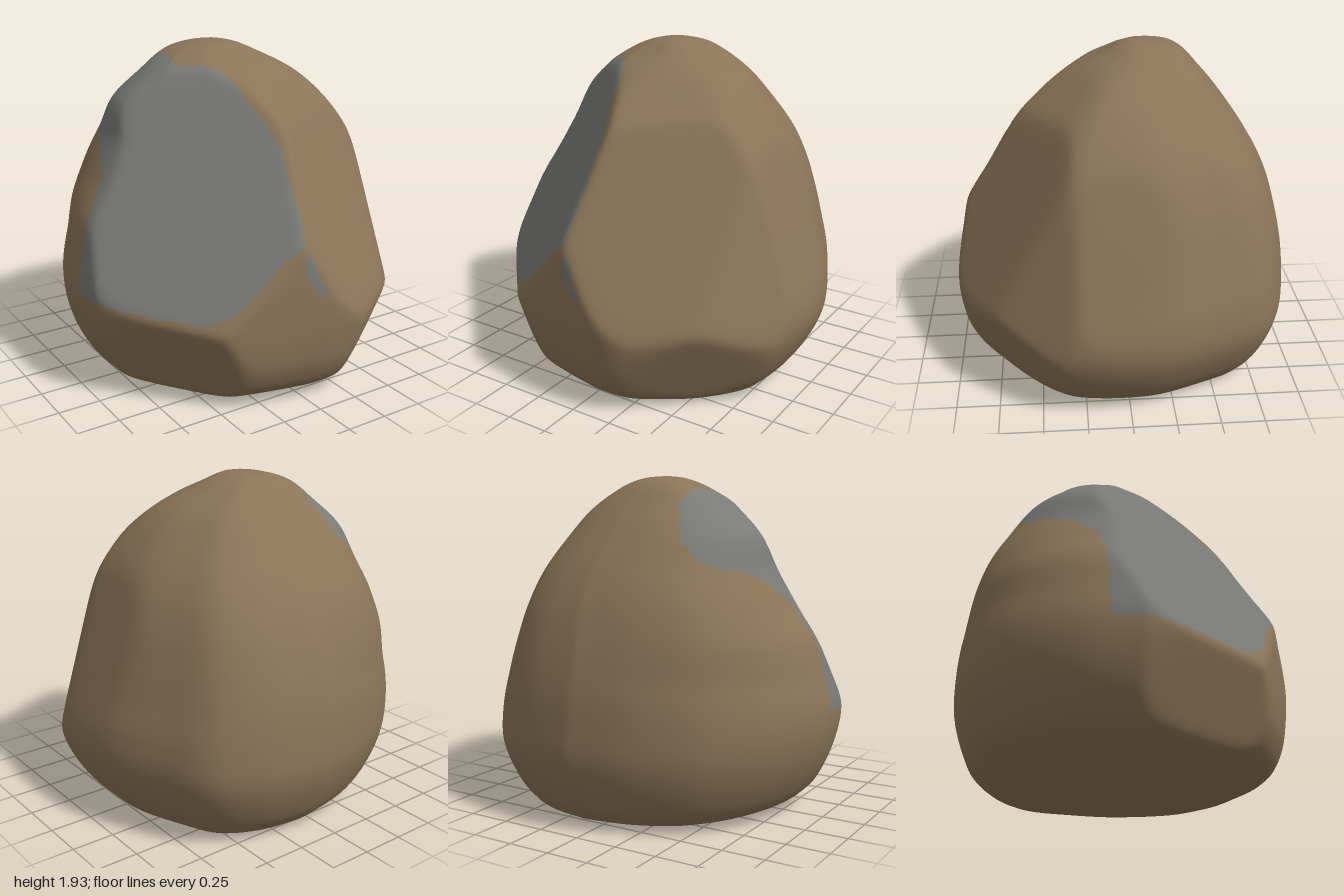
import * as THREE from 'three';

const AROUND = 200, UP = 130;

// Plan outline (x, z), clockwise seen from above
const outline = [
  [0, -0.98], [0.15, -0.985], [0.45, -0.93], [0.71, -0.78], [0.86, -0.5], [0.97, -0.22], [1, 0], [0.99, 0.25],
  [0.93, 0.46], [0.71, 0.74], [0.5, 0.87], [0.3, 0.97], [0.13, 0.99], [-0.05, 0.97], [-0.4, 0.89], [-0.6, 0.81],
  [-0.8, 0.56], [-0.97, 0.3], [-1, 0.15], [-1, -0.1], [-0.93, -0.35], [-0.8, -0.58], [-0.6, -0.78], [-0.3, -0.92],
];

// Extents at each height: y, x min, x max, z min, z max
const levels = [
  [0, 0, 0, 0, 0], [0, -0.3, 0.35, -0.4, 0.35], [0.005, -0.6, 0.7, -0.73, 0.68], [0.08, -0.8, 0.82, -0.86, 0.86],
  [0.22, -0.91, 0.92, -0.94, 0.95], [0.4, -0.98, 0.99, -0.99, 0.99], [0.6, -1.005, 0.99, -0.99, 1.01],
  [0.8, -0.97, 0.94, -0.97, 0.99], [1, -0.91, 0.89, -0.92, 0.96], [1.2, -0.78, 0.82, -0.84, 0.83],
  [1.4, -0.67, 0.73, -0.73, 0.72], [1.6, -0.6, 0.59, -0.59, 0.55], [1.75, -0.44, 0.44, -0.47, 0.35],
  [1.87, -0.28, 0.23, -0.36, 0.1], [1.92, -0.14, 0.1, -0.25, 0], [1.935, -0.02, -0.02, -0.1, -0.1],
];

// Flat faces chipped off the boulder: normal, distance from origin
const facets = [
  [-0.62, 0.46, 0.635, 1.09],   // large grey break
  [0.42, 0.41, 0.81, 1.12],     // front right
  [-0.25, 0, 0.97, 0.945],      // low front
  [-0.72, -0.35, 0.6, 0.71],    // low left corner
  [0.95, 0.3, 0, 1.11],         // right side
  [0.8, 0.25, 0.55, 1.09],      // right front corner
  [0.6, -0.4, 0.69, 0.715],     // underside, front right
  [0.25, 0.76, 0.6, 1.53],      // above the front
];

// Grey stone region, as front (x, y) and plan (x, z) masks
const greyFront = [[-1.1, 0.61], [-0.95, 0.59], [-0.75, 0.56], [-0.6, 0.55], [-0.45, 0.61], [-0.2, 0.87],
  [-0.12, 0.94], [-0.07, 0.95], [-0.03, 1.5], [-0.15, 1.83], [-0.28, 1.87], [-1.1, 1.95]];
const greyPlan = [[-1.1, 0.08], [-0.97, 0.05], [-0.8, -0.03], [-0.7, -0.25], [-0.6, -0.46], [-0.5, -0.55],
  [-0.38, -0.56], [-0.28, -0.4], [-0.3, -0.2], [-0.33, 0.03], [-0.17, 0.2], [-0.03, 0.65], [-0.03, 1.1], [-1.1, 1.1]];
const greySliver = [[-0.09, 0.91], [-0.05, 0.91], [0, 0.78], [0.05, 0.66], [0, 0.67], [-0.08, 0.79]];

function inside(poly, x, y) {
  let hit = false;
  poly.forEach(([ax, ay], i) => {
    const [bx, by] = poly[(i + 1) % poly.length];
    if ((ay > y) !== (by > y) && x < ax + (bx - ax) * (y - ay) / (by - ay)) hit = !hit;
  });
  return hit;
}

// Fuller shoulder on the upper back, towards -x and -z
function shoulder(o, y) {
  const facing = Math.max(0, -(o.x + o.z) / Math.SQRT2 / Math.hypot(o.x, o.z));
  return 1 + 0.13 * facing ** 4 * THREE.MathUtils.smoothstep(y, 0.8, 1.4);
}

// Pull a point towards the core so that it respects every facet, with softened edges
function chip(p) {
  const core = 0.8, k = 80;
  let sum = 1;
  for (const [nx, ny, nz, d] of facets) {
    const reach = (nx * p.x + ny * (p.y - core) + nz * p.z) / (d - ny * core);
    if (reach > 0) sum += reach ** k;
  }
  const s = sum ** (-1 / k);
  return p.set(p.x * s, core + (p.y - core) * s, p.z * s);
}

function boulderGeometry() {
  const plan = new THREE.CatmullRomCurve3(
    outline.map(([x, z]) => new THREE.Vector3(x, 0, z)), true, 'catmullrom');
  const spline = (f) => new THREE.CatmullRomCurve3(levels.map(f), false, 'catmullrom');
  const centre = spline(([y, l, r, b, f]) => new THREE.Vector3((l + r) / 2, y, (b + f) / 2));
  const half = spline(([y, l, r, b, f]) => new THREE.Vector3((r - l) / 2, y, (f - b) / 2));
  const ring = Array.from({ length: AROUND }, (_, i) => plan.getPoint(i / AROUND));

  const pts = [];
  for (let j = 0; j <= UP; j++) {
    const c = centre.getPoint(j / UP), h = half.getPoint(j / UP);
    for (const o of ring) {
      const s = shoulder(o, c.y);
      pts.push(chip(new THREE.Vector3(c.x + h.x * o.x * s, Math.max(0, c.y), c.z + h.z * o.z * s)));
    }
  }

  // Sort the triangles into brown crust and grey stone
  const brown = [], grey = [], m = new THREE.Vector3();
  const face = (a, b, c) => {
    m.copy(pts[a]).add(pts[b]).add(pts[c]).divideScalar(3);
    const isGrey = (inside(greyFront, m.x, m.y) && inside(greyPlan, m.x, m.z))
      || (m.z > 0.5 && inside(greySliver, m.x, m.y));
    (isGrey ? grey : brown).push(a, b, c);
  };
  for (let j = 0; j < UP; j++) {
    for (let i = 0; i < AROUND; i++) {
      const n = (i + 1) % AROUND, a = j * AROUND, b = a + AROUND;
      if (j < UP - 1) face(a + i, b + i, b + n);
      if (j > 0) face(a + i, b + n, a + n);
    }
  }

  const geo = new THREE.BufferGeometry().setFromPoints(pts);
  geo.setIndex([...brown, ...grey]);
  geo.addGroup(0, brown.length, 0);
  geo.addGroup(brown.length, grey.length, 1);
  geo.computeVertexNormals();
  return geo;
}

export function createModel() {
  const brownCrust = new THREE.MeshStandardMaterial({ color: 0x8b7558 });
  brownCrust.name = 'brownCrust';
  const greyStone = new THREE.MeshStandardMaterial({ color: 0x7a7b77 });
  greyStone.name = 'greyStone';

  const boulder = new THREE.Mesh(boulderGeometry(), [brownCrust, greyStone]);
  boulder.name = 'boulder';
  const model = new THREE.Group();
  model.name = 'rock';
  model.add(boulder);
  return model;
}
